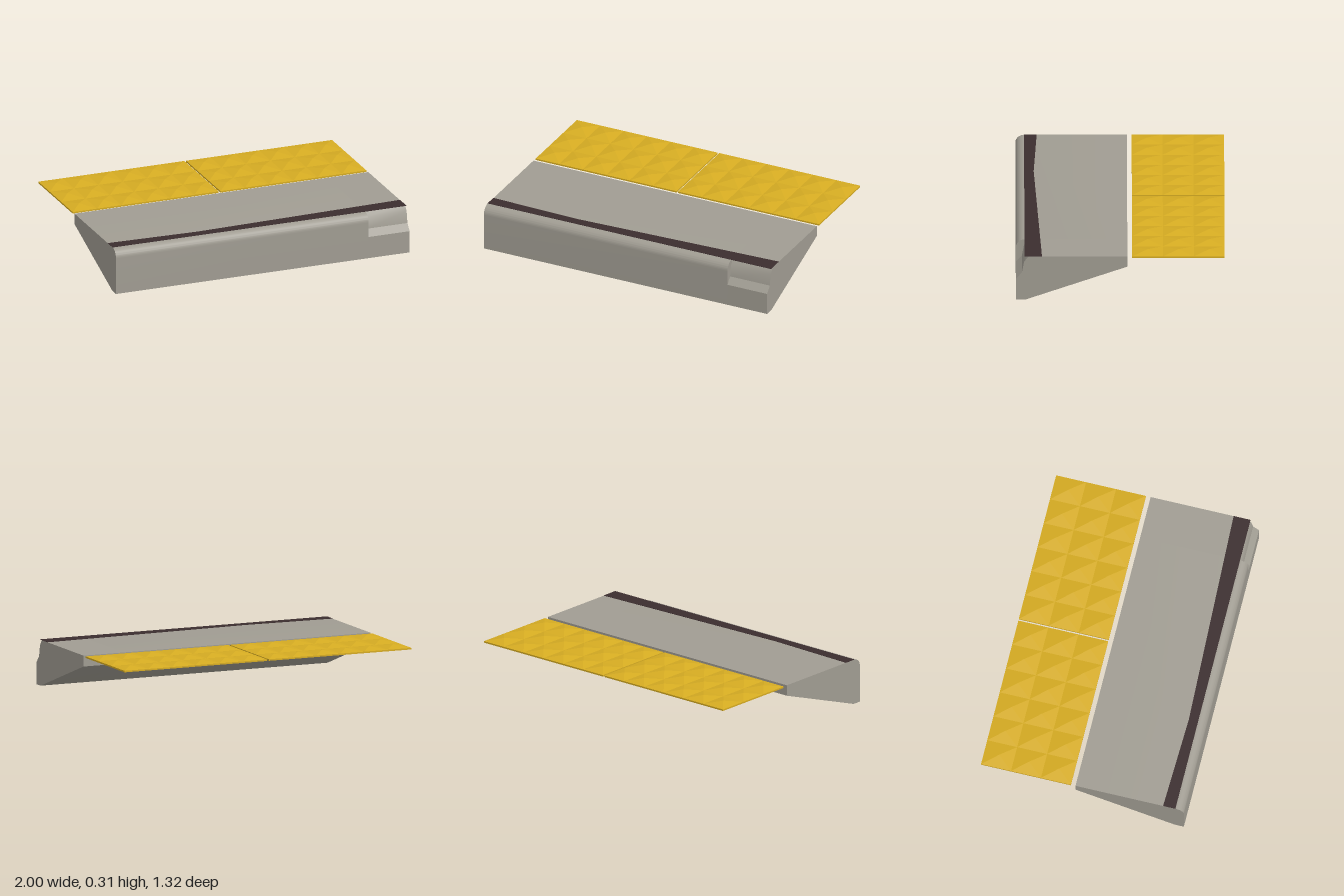
import * as THREE from 'three';
import { toCreasedNormals } from 'three/addons/utils/BufferGeometryUtils.js';

const concrete = new THREE.MeshStandardMaterial({ color: 0xa09c92 });
concrete.name = 'concrete grey';
const yellow = new THREE.MeshStandardMaterial({ color: 0xd6ac22, side: THREE.DoubleSide, flatShading: true });
yellow.name = 'tile yellow';
const dark = new THREE.MeshStandardMaterial({ color: 0x3b2d2e, side: THREE.DoubleSide });
dark.name = 'dark stripe';

const FRONT = 0.66, BACK = -0.045, TOP = 0.295;

// Curb block: a side profile (shape x = -z) extruded along x
function curbBlock(name, x0, x1, drawNose) {
  const s = new THREE.Shape();
  s.moveTo(-0.6, 0);
  s.lineTo(-BACK, 0.225);
  s.lineTo(-BACK, TOP);
  drawNose(s);
  s.lineTo(-FRONT, 0);
  s.closePath();
  const geo = new THREE.ExtrudeGeometry(s, { depth: x1 - x0, bevelEnabled: false, curveSegments: 10 });
  geo.rotateY(Math.PI / 2).translate(x0, 0, 0);
  const mesh = new THREE.Mesh(toCreasedNormals(geo, 0.5), concrete);
  mesh.name = name;
  return mesh;
}

// Tactile tile: an open shell of low pyramids with a thin rim
function tactileTile(name, x0, x1) {
  const cols = 6, rows = 3, z0 = -0.66, z1 = -0.075, base = 0.285, peak = 0.31;
  const dx = (x1 - x0) / cols, dz = (z1 - z0) / rows;
  const pos = [];
  for (let i = 0; i < cols; i++) {
    for (let j = 0; j < rows; j++) {
      const a = x0 + i * dx, b = a + dx, c = z0 + j * dz, d = c + dz;
      const ring = [[a, c], [a, d], [b, d], [b, c]];
      ring.forEach(([x, z], k) => {
        const [nx, nz] = ring[(k + 1) % 4];
        pos.push(x, TOP, z, nx, TOP, nz, a + dx / 2, peak, c + dz / 2);
      });
    }
  }
  // rim walls
  const rim = [[x0, z0], [x0, z1], [x1, z1], [x1, z0]];
  rim.forEach(([x, z], k) => {
    const [nx, nz] = rim[(k + 1) % 4];
    pos.push(x, base, z, nx, base, nz, nx, TOP, nz);
    pos.push(x, base, z, nx, TOP, nz, x, TOP, z);
  });
  const geo = new THREE.BufferGeometry();
  geo.setAttribute('position', new THREE.Float32BufferAttribute(pos, 3));
  geo.computeVertexNormals();
  const mesh = new THREE.Mesh(geo, yellow);
  mesh.name = name;
  return mesh;
}

export function createModel() {
  const model = new THREE.Group();
  model.name = 'platformEdge';

  // main curb with a rounded nose
  model.add(curbBlock('curb', -1, 0.72, (s) => {
    const r = 0.055;
    s.lineTo(-FRONT + r, TOP);
    s.absarc(-FRONT + r, TOP - r, r, Math.PI / 2, Math.PI, false);
  }));

  // end section with the nose cut away
  model.add(curbBlock('notchedCurbEnd', 0.72, 1, (s) => {
    s.lineTo(-0.58, TOP);
    s.lineTo(-0.608, 0.26);
    s.lineTo(-0.622, 0.185);
    s.lineTo(-FRONT, 0.143);
  }));

  // dark stripe along the edge, reaching slightly over the notch
  const stripe = new THREE.Shape();
  stripe.moveTo(-1, -0.605);
  stripe.lineTo(1, -0.605);
  stripe.lineTo(1, -0.495);
  stripe.lineTo(-0.4, -0.545);
  stripe.lineTo(-1, -0.525);
  stripe.closePath();
  const stripeMesh = new THREE.Mesh(
    new THREE.ExtrudeGeometry(stripe, { depth: 0.002, bevelEnabled: false }).rotateX(-Math.PI / 2), dark);
  stripeMesh.position.y = TOP;
  stripeMesh.name = 'edgeStripe';
  model.add(stripeMesh);

  // pair of tactile tiles behind the curb
  model.add(tactileTile('rightTile', -1, -0.006));
  model.add(tactileTile('leftTile', 0.006, 1));

  return model;
}
